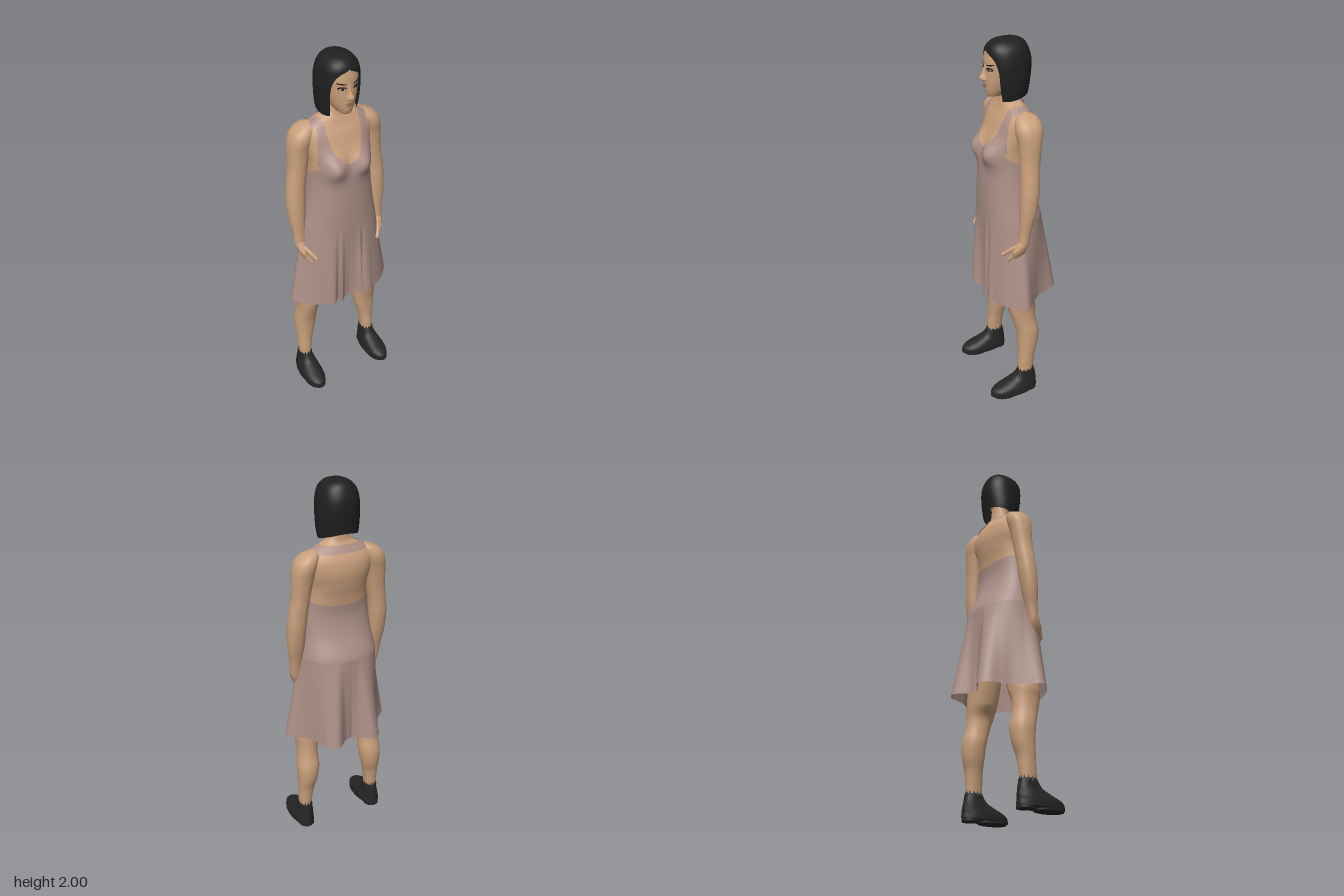
import * as THREE from 'three';
import { ParametricGeometry } from 'three/addons/geometries/ParametricGeometry.js';

const mat = (name, color, side = THREE.DoubleSide) => {
  const m = new THREE.MeshStandardMaterial({ color, side });
  m.name = name;
  return m;
};

// Smooth lookup in rows sorted by their first column
function key(rows, k) {
  const n = rows.length - 1;
  k = Math.min(Math.max(k, rows[0][0]), rows[n][0]);
  let i = 0;
  while (i < n - 1 && k > rows[i + 1][0]) i++;
  const a = rows[i], b = rows[i + 1], h = b[0] - a[0], t = (k - a[0]) / h;
  const p = rows[Math.max(i - 1, 0)], q = rows[Math.min(i + 2, n)];
  return a.map((_, c) => {
    const m0 = (b[c] - p[c]) / (b[0] - p[0]) * h, m1 = (q[c] - a[c]) / (q[0] - a[0]) * h;
    const t2 = t * t, t3 = t2 * t;
    return (2 * t3 - 3 * t2 + 1) * a[c] + (t3 - 2 * t2 + t) * m0 + (3 * t2 - 2 * t3) * b[c] + (t3 - t2) * m1;
  });
}

// Cross-section rows: [y, centre x, centre z, half width, front depth, back depth]
const N = 2.2;
function ring(row, th, out, off = 0) {
  const [y, cx, cz, rx, rf, rb] = row, s = Math.sin(th), c = Math.cos(th);
  const rz = c > 0 ? rf : rb;
  const r = off + Math.pow(Math.pow(Math.abs(s) / rx, N) + Math.pow(Math.abs(c) / rz, N), -1 / N);
  return out.set(cx + r * s, y, cz + r * c);
}
const frontZ = ([, cx, cz, rx, rf], x) =>
  cz + rf * Math.pow(Math.max(0, 1 - Math.pow(Math.abs((x - cx) / rx), N)), 1 / N);

const BODY = [
  [1.05, 0, .02, .215, .14, .17], [1.10, 0, .02, .205, .14, .155], [1.20, 0, .02, .185, .14, .11],
  [1.30, 0, .02, .172, .137, .088], [1.40, 0, .02, .165, .132, .097], [1.47, 0, .02, .168, .118, .112],
  [1.54, 0, .01, .185, .103, .112], [1.60, 0, .005, .192, .085, .10], [1.64, 0, .003, .168, .067, .08],
  [1.67, 0, .003, .12, .055, .06], [1.69, 0, .004, .075, .048, .049], [1.72, 0, .005, .056, .044, .045],
  [1.80, 0, .01, .052, .042, .045]];
const HEAD = [
  [1.712, 0, .095, .006, .008, .02], [1.718, 0, .085, .028, .035, .04], [1.735, 0, .065, .043, .063, .05],
  [1.76, 0, .04, .06, .092, .06], [1.80, 0, .035, .073, .099, .085], [1.85, 0, .03, .082, .103, .1],
  [1.91, 0, .025, .085, .105, .1], [1.96, 0, .02, .065, .09, .08], [1.985, 0, .015, .02, .03, .03]];
const HAIR = [
  [1.69, 0, .01, .096, .08, .085], [1.75, 0, .01, .108, .098, .097], [1.84, 0, .012, .110, .112, .113],
  [1.90, 0, .012, .106, .117, .113], [1.95, 0, .012, .092, .112, .098], [1.98, 0, .01, .066, .088, .076],
  [1.994, 0, .01, .036, .05, .046], [2.0, 0, .01, .002, .002, .002]];
const NOSE = [
  [1.793, 0, .128, .006, .008, .01], [1.80, 0, .128, .019, .028, .01], [1.813, 0, .128, .017, .037, .01],
  [1.835, 0, .125, .010, .027, .01], [1.875, 0, .122, .008, .012, .01]];
const ARM = [
  [.98, .237, .037, .03, .027, .027], [1.05, .238, .028, .034, .03, .03], [1.15, .240, .015, .046, .041, .041],
  [1.25, .238, .005, .05, .048, .048], [1.32, .232, 0, .05, .048, .048], [1.42, .217, -.005, .05, .051, .051],
  [1.52, .206, -.01, .056, .06, .06], [1.58, .194, -.01, .06, .068, .07], [1.62, .178, -.01, .056, .062, .065],
  [1.65, .155, -.01, .035, .04, .045], [1.662, .14, -.01, .004, .005, .005]];
const PALM = [
  [.895, .222, .06, .008, .02, .02], [.905, .224, .06, .014, .034, .032], [.94, .234, .055, .021, .04, .036],
  [.97, .238, .044, .026, .034, .032], [1.0, .238, .035, .029, .026, .026]];
const LEG = [
  [.10, .215, .005, .033, .035, .035], [.15, .215, .004, .035, .044, .043], [.25, .21, -.003, .045, .047, .047],
  [.32, .203, -.01, .056, .056, .059], [.40, .198, -.01, .063, .063, .065], [.48, .194, .008, .058, .066, .066],
  [.54, .19, .018, .061, .073, .073], [.60, .175, .02, .080, .080, .080], [.75, .145, .02, .085, .085, .09],
  [.95, .11, .02, .085, .085, .1]];
const SHOE = [
  [.02, .218, .08, .062, .138, .143], [.04, .218, .08, .061, .134, .14], [.055, .218, .07, .057, .12, .13],
  [.08, .216, .04, .048, .085, .097], [.10, .215, .02, .042, .062, .074], [.14, .215, .005, .035, .046, .05]];

// Skirt hem radius and bodice top height by angle from the front, in degrees
const HEM = [[0, .135], [14, .15], [21, .185], [27, .155], [33, .195], [48, .215], [76, .28], [87, .305], [100, .255],
  [115, .225], [131, .235], [145, .265], [157, .26], [167, .195], [180, .17]];
const TOP = [[0, 1.455], [18, 1.475], [30, 1.505], [45, 1.52], [58, 1.47], [75, 1.42], [100, 1.39], [140, 1.37], [180, 1.365]];
const STRAP = [[1.455, .02, .155], [1.475, .035, .154], [1.49, .055, .153], [1.55, .087, .148], [1.60, .094, .142], [1.67, .098, .132]];

const bust = (x, y) => .042 * Math.exp(-(((Math.abs(x) - .085) / .055) ** 2) - ((y - 1.44) / .06) ** 2);
const TAU = Math.PI * 2, HIP = 1.08, HEMY = .605;

function bodyPoint(th, y, off, out) {
  ring(key(BODY, Math.max(y, HIP)), th, out, off);
  if (out.z > .02) out.z += bust(out.x, y);
  if (y < HIP) {
    const deg = Math.acos(Math.cos(th)) * 180 / Math.PI, r = key(HEM, deg)[1], t = (HIP - y) / (HIP - HEMY);
    out.x += (r * Math.sin(th) - out.x) * t;
    out.z += (.02 + r * Math.cos(th) - out.z) * t;
  }
  out.y = y;
}

export function createModel() {
  const root = new THREE.Group();
  root.name = 'woman';
  const skin = mat('skin', 0xcaa07c), dress = mat('dress fabric', 0xac8f87), hair = mat('hair', 0x1f1f1f);
  const leather = mat('shoe leather', 0x252525), dark = mat('eye and brow', 0x1c1715);
  const white = mat('eye white', 0xc9c0b6), lip = mat('lips', 0xa8705e), knee = mat('knee mark', 0xb08a78);

  const add = (name, geo, m) => {
    const mesh = new THREE.Mesh(geo, m);
    mesh.name = name;
    root.add(mesh);
    return mesh;
  };
  const surface = (name, m, nu, nv, fn) => add(name, new ParametricGeometry(fn, nu, nv), m);
  const loft = (name, m, rows, s = 1, nu = 32, nv = 48) => surface(name, m, nu, nv, (u, v, p) => {
    const y0 = rows[0][0], y1 = rows[rows.length - 1][0];
    const row = key(rows, y0 + (y1 - y0) * v);
    row[1] *= s;
    ring(row, u * TAU, p);
  });
  // Thin oval lying on the front of a lofted part
  const decal = (name, m, rows, x, y, w, h, off, tilt = 0) => surface(name, m, 4, 20, (u, v, p) => {
    const r = .03 + .97 * u, dx = w * r * Math.cos(v * TAU), dy = h * r * Math.sin(v * TAU) + dx * tilt;
    const row = key(rows, y + dy);
    p.set(x + dx, y + dy, frontZ(row, x + dx) + off);
  });

  // Torso and neck
  surface('torso', skin, 64, 60, (u, v, p) => bodyPoint(u * TAU, 1.28 + .52 * v, 0, p));

  // Dress: bodice and skirt in one cloth, straps and the band behind the neck
  surface('dress', dress, 160, 64, (u, v, p) => {
    const th = u * TAU, top = key(TOP, Math.acos(Math.cos(th)) * 180 / Math.PI)[1];
    bodyPoint(th, HEMY + (top - HEMY) * v, .006, p);
  });
  for (const s of [1, -1]) {
    surface('strap', dress, 14, 28, (u, v, p) => {
      const y = 1.455 + .215 * v, [, a, b] = key(STRAP, y), x = a + (b - a) * (s > 0 ? u : 1 - u);
      p.set(s * x, y, frontZ(key(BODY, y), x) + bust(x, y) + .008);
    });
  }
  surface('neckBand', dress, 48, 8, (u, v, p) => bodyPoint(1.3 + u * (TAU - 2.6), 1.642 + .036 * v, .007, p));

  // Head and face
  loft('head', skin, HEAD, 1, 40, 48);
  loft('nose', skin, NOSE, 1, 20, 20);
  decal('upperLip', lip, HEAD, 0, 1.777, .024, .005, .006);
  decal('lowerLip', lip, HEAD, 0, 1.768, .020, .005, .007);
  for (const s of [1, -1]) {
    decal('eyeLine', dark, HEAD, s * .037, 1.857, .019, .009, .003);
    decal('eyeWhite', white, HEAD, s * .037, 1.855, .014, .005, .005);
    decal('iris', dark, HEAD, s * .037, 1.855, .006, .006, .007);
    decal('brow', dark, HEAD, s * .039, 1.879, .022, .0035, .004, s * .15);
  }

  // Bobbed hair, open around the face and longer towards the front
  const OPEN = [[1.69, .85], [1.78, .80], [1.85, .76], [1.90, .58], [1.925, .32], [1.94, .02], [1.95, 0], [2.0, 0]];
  surface('hair', hair, 64, 48, (u, v, p) => {
    const low = 1.72 - .02 * Math.cos(u * TAU), y = low + (2 - low) * Math.sin(v * Math.PI / 2);
    const a = Math.max(0, key(OPEN, y)[1]);
    ring(key(HAIR, y), a + u * (TAU - 2 * a), p);
  });

  for (const s of [1, -1]) {
    // Arm, hand and fingers
    loft('arm', skin, ARM, s);
    loft('palm', skin, PALM, s, 20, 20);
    const fingers = [
      [[.226, .93, .030], [.224, .90, .035], [.213, .875, .040], .008],
      [[.227, .92, .048], [.222, .89, .054], [.210, .866, .056], .009],
      [[.226, .92, .066], [.220, .89, .076], [.207, .869, .080], .009],
      [[.226, .93, .082], [.217, .90, .097], [.203, .883, .106], .009],
      [[.234, .975, .060], [.215, .95, .095], [.190, .917, .130], .011]];
    fingers.forEach(([a, b, c, r], i) => {
      const pts = [a, b, c].map(q => new THREE.Vector3(s * q[0], q[1], q[2]));
      const name = i < 4 ? 'finger' : 'thumb';
      add(name, new THREE.TubeGeometry(new THREE.CatmullRomCurve3(pts), 10, r, 10), skin);
      add(name + 'Tip', new THREE.SphereGeometry(r, 10, 8), skin).position.copy(pts[2]);
    });

    // Leg and knee
    loft('leg', skin, LEG, s, 36, 56);
    const mirroredLeg = LEG.map(r => r.map((c, i) => (i === 1 ? c * s : c)));
    decal('kneeMark', knee, mirroredLeg, s * .166, .535, .022, .026, .003);

    // Shoe, sole, heel and ragged sock edge
    loft('shoe', leather, SHOE, s, 36, 24);
    for (const [name, x, y, z, rx, h, rz] of [
      ['sole', .218, .018, .08, .064, .016, .142],
      ['forefootSole', .218, .007, .125, .056, .014, .085],
      ['heel', .217, .007, -.012, .045, .014, .048]]) {
      const part = add(name, new THREE.CylinderGeometry(1, 1, 1, 32), leather);
      part.position.set(s * x, y, z);
      part.scale.set(rx, h, rz);
    }
    for (let i = 0; i < 12; i++) {
      const a = i / 12 * TAU;
      const spike = add('sockEdge', new THREE.ConeGeometry(.009, .03, 5), leather);
      spike.position.set(s * .215 + .034 * Math.sin(a), .142, .004 + .044 * Math.cos(a));
    }
  }
  return root;
}
